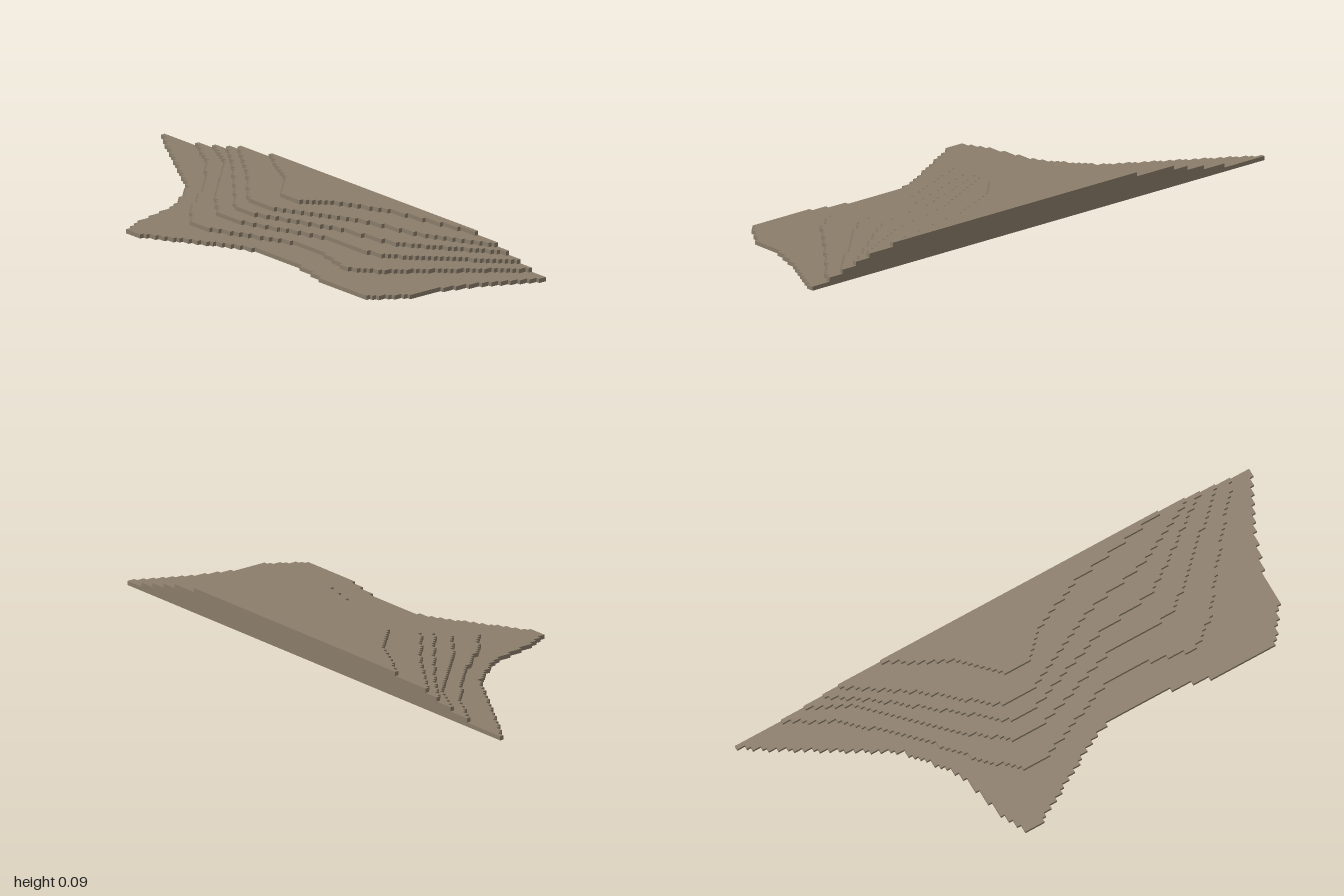
import * as THREE from 'three';

const CELL = 2 / 135;           // grid step of the stepped terrain
const EDGE = 25.5 * CELL;       // straight cut side at +x

// Contour of each layer, bottom to top, as [z, x] from back to front
const CONTOURS = [
  [[-1, .37], [-.74, .21], [-.52, .08], [-.39, -.09], [-.34, -.29], [-.3, -.37], [-.25, -.38], [-.13, -.31],
    [.08, -.19], [.16, -.165], [.32, -.165], [.58, -.222], [.76, -.222], [.845, -.09], [.86, .04], [.915, .2], [1, .37]],
  [[-.82, .37], [-.66, .28], [-.47, .11], [-.31, -.08], [-.2, -.18], [-.1, -.18], [.21, -.047], [.32, -.047],
    [.48, -.09], [.53, -.09], [.62, -.02], [.78, .19], [.93, .37]],
  [[-.735, .37], [-.58, .29], [-.34, .045], [-.18, -.075], [-.05, -.075], [.24, .03], [.4, .03], [.53, .06], [.87, .37]],
  [[-.66, .37], [-.5, .26], [-.16, -.015], [-.05, -.015], [.27, .11], [.4, .125], [.5, .15], [.8, .37]],
  [[-.6, .37], [-.39, .23], [-.16, .043], [-.03, .043], [.27, .19], [.5, .24], [.755, .37]],
  [[-.44, .37], [-.23, .26], [-.1, .13], [0, .13], [.08, .21], [.29, .3], [.645, .37]],
];

// Contour x at a given z, linear between points
function contourX(points, z) {
  const i = Math.max(1, points.findIndex(([end]) => z <= end));
  const [z0, x0] = points[i - 1], [z1, x1] = points[i];
  return THREE.MathUtils.mapLinear(z, z0, z1, x0, x1);
}

// Slab whose curved side is snapped to the grid, row by row
function steppedLayer(points) {
  const first = Math.round((points[0][0] + 1) / CELL);
  const last = Math.round((points[points.length - 1][0] + 1) / CELL);
  const outline = [new THREE.Vector2(EDGE, first * CELL - 1)];
  let previous = EDGE;
  for (let row = first; row < last; row++) {
    const z = row * CELL - 1;
    const middle = Math.min(z + CELL / 2, points[points.length - 1][0]);
    const cells = Math.max(1, Math.round((EDGE - contourX(points, middle)) / CELL));
    const x = EDGE - cells * CELL;
    if (Math.abs(x - previous) > 1e-6) {
      if (row > first) outline.push(new THREE.Vector2(previous, z));
      outline.push(new THREE.Vector2(x, z));
    }
    previous = x;
  }
  outline.push(new THREE.Vector2(previous, last * CELL - 1), new THREE.Vector2(EDGE, last * CELL - 1));
  const geometry = new THREE.ExtrudeGeometry(new THREE.Shape(outline), { depth: CELL, bevelEnabled: false });
  return geometry.rotateX(Math.PI / 2).translate(0, CELL, 0);
}

export function createModel() {
  const group = new THREE.Group();
  group.name = 'steppedHillside';
  const stone = new THREE.MeshStandardMaterial({ color: 0x8b7d6b });
  stone.name = 'stone';

  // Terraces stacked one grid step apart
  CONTOURS.forEach((points, i) => {
    const terrace = new THREE.Mesh(steppedLayer(points), stone);
    terrace.name = `terrace${i + 1}`;
    terrace.position.y = i * CELL;
    group.add(terrace);
  });
  return group;
}
